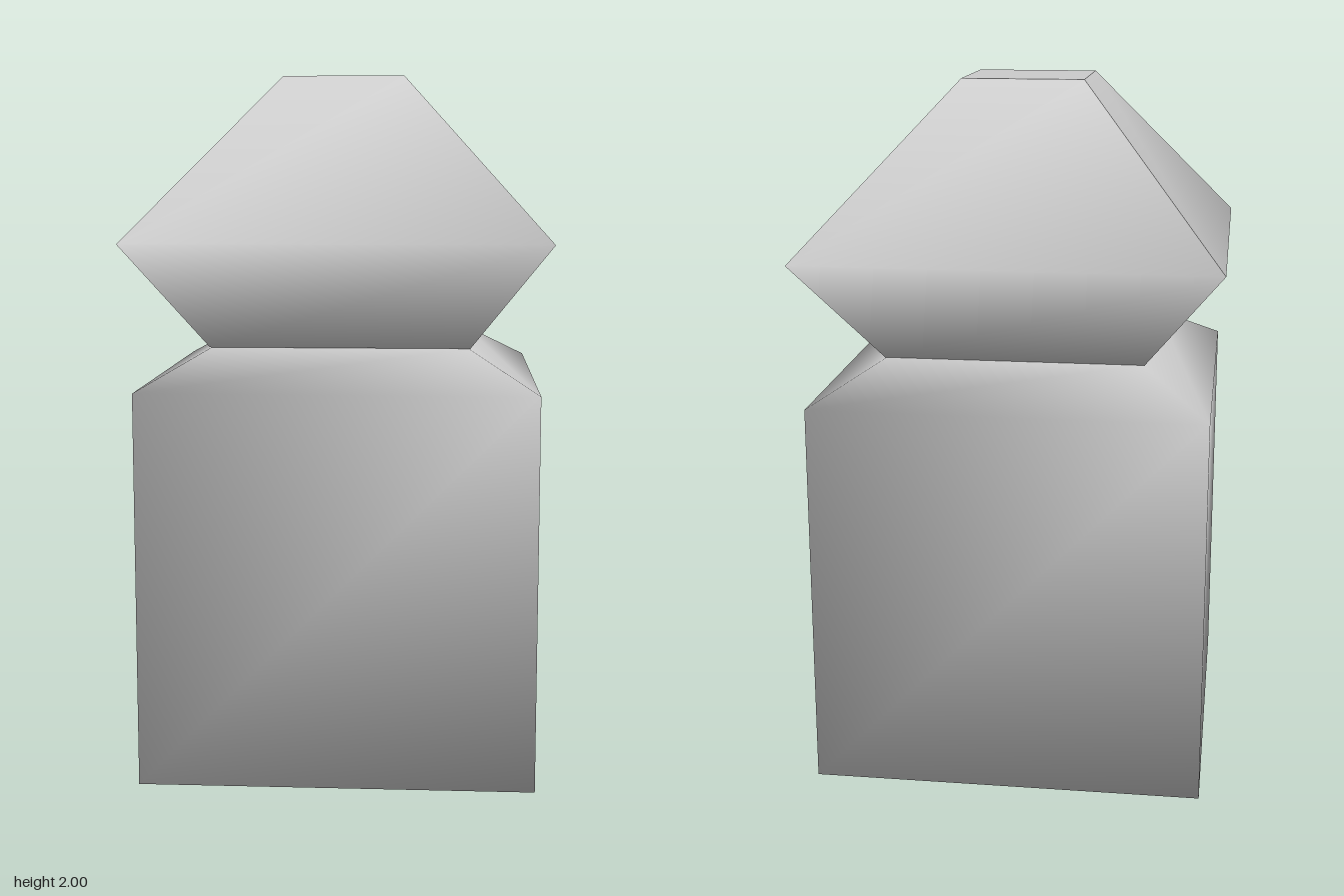
import * as THREE from 'three';
import { mergeVertices } from 'three/addons/utils/BufferGeometryUtils.js';

// Square solid through three rings, each [y, half width], from bottom to top.
function squareLoft(rings, roundCorners) {
  let geo = new THREE.BoxGeometry(2, 2, 2, 1, 2, 1);
  const p = geo.attributes.position;
  for (let i = 0; i < p.count; i++) {
    const [y, half] = rings[Math.round(p.getY(i)) + 1];
    p.setXYZ(i, Math.sign(p.getX(i)) * half, y, Math.sign(p.getZ(i)) * half);
  }
  if (roundCorners) {
    // share corners so shading runs smoothly around the whole solid
    geo.deleteAttribute('normal');
    geo.deleteAttribute('uv');
    geo = mergeVertices(geo);
  }
  geo.computeVertexNormals();
  return geo;
}

export function createModel() {
  const group = new THREE.Group();
  const grey = new THREE.MeshStandardMaterial({ color: 0xcccccc });
  grey.name = 'light grey';

  // Block with sloping shoulders, shaded smooth all over
  const base = new THREE.Mesh(squareLoft([[0, 0.56], [1.12, 0.56], [1.23, 0.365]], true), grey);
  base.name = 'base';

  // Flared cap: crisp corners, each side smooth over its widest line
  const cap = new THREE.Mesh(squareLoft([[1.23, 0.37], [1.53, 0.59], [2, 0.175]], false), grey);
  cap.name = 'cap';

  group.add(base, cap);
  return group;
}
